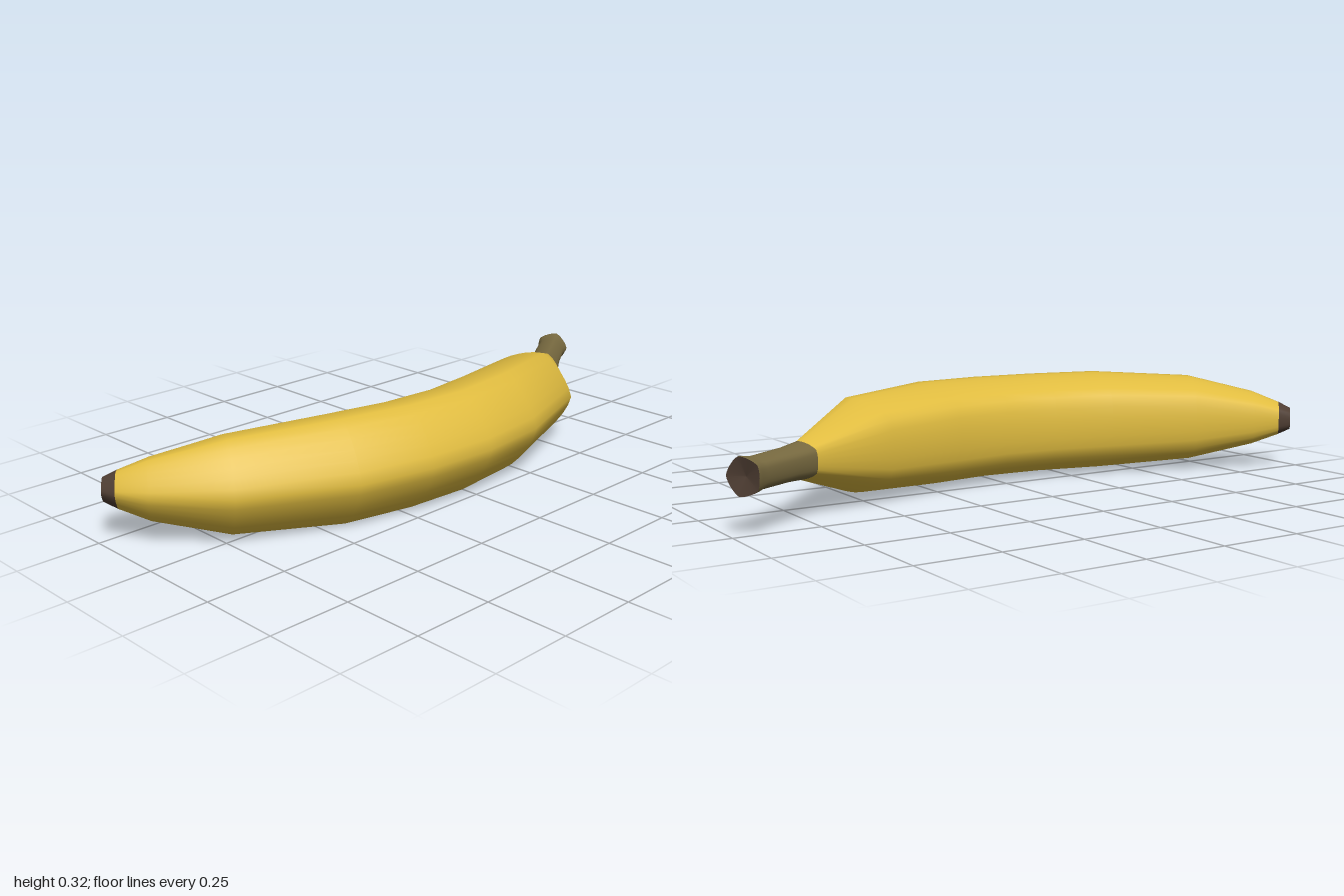
import * as THREE from 'three';

const SIDES = 30; // six steps for each of the five curved faces
const MID_Y = 0.159;

// Rounded five-ridged cross-section, with one ridge on the outer curve
const ridged = (a) => 1 - 0.09 * Math.abs(Math.sin(2.5 * a));

// Skin a row of stations [x, z, radius, turn of the outward direction]
function loft(name, stations, material) {
  const pos = [], index = [];
  for (const [x, z, r, turn] of stations) {
    for (let j = 0; j < SIDES; j++) {
      const a = (j / SIDES) * Math.PI * 2;
      const out = r * ridged(a) * Math.cos(a);
      pos.push(x + out * Math.sin(turn), MID_Y + r * ridged(a) * Math.sin(a), z + out * Math.cos(turn));
    }
  }
  for (let i = 0; i < stations.length - 1; i++) {
    for (let j = 0; j < SIDES; j++) {
      const k = (j + 1) % SIDES;
      const a = i * SIDES + j, b = i * SIDES + k, c = a + SIDES, d = b + SIDES;
      index.push(a, c, b, c, d, b);
    }
  }
  const geo = new THREE.BufferGeometry();
  geo.setAttribute('position', new THREE.Float32BufferAttribute(pos, 3));
  geo.setIndex(index);
  geo.computeVertexNormals();
  const mesh = new THREE.Mesh(geo, material);
  mesh.name = name;
  return mesh;
}

export function createModel() {
  const peel = new THREE.MeshStandardMaterial({ color: 0xe0bc40 });
  peel.name = 'yellowPeel';
  const olive = new THREE.MeshStandardMaterial({ color: 0x786a40 });
  olive.name = 'oliveStem';
  const brown = new THREE.MeshStandardMaterial({ color: 0x4f3e33 });
  brown.name = 'darkBrown';

  const tipBase = [-0.946, -0.217, 0.057, -0.73];
  const tipEnd = [-0.975, -0.243, 0.037, -0.76];
  const stemBase = [0.742, -0.119, 0.056, 0.55];
  const stemEnd = [0.971, -0.264, 0.055, 0.56];

  const group = new THREE.Group();
  group.name = 'banana';
  group.add(
    // curved fruit body
    loft('body', [
      tipBase,
      [-0.88, -0.16, 0.093, -0.66],
      [-0.705, -0.041, 0.147, -0.51],
      [-0.412, 0.082, 0.167, -0.29],
      [-0.2, 0.128, 0.167, -0.15],
      [0, 0.141, 0.167, 0.01],
      [0.21, 0.115, 0.167, 0.18],
      [0.5, 0.025, 0.147, 0.4],
      stemBase,
    ], peel),
    // dark blossom tip and its sunken end
    loft('tip', [tipEnd, tipBase], brown),
    loft('tipEnd', [[-0.967, -0.235, 0, -0.76], tipEnd], brown),
    // stem with a slight flare
    loft('stem', [
      stemBase,
      [0.81, -0.162, 0.05, 0.56],
      [0.93, -0.238, 0.048, 0.56],
      [0.957, -0.255, 0.054, 0.56],
      stemEnd,
    ], olive),
    // sunken cut face of the stem
    loft('stemCut', [stemEnd, [0.961, -0.258, 0, 0.56]], brown),
  );
  return group;
}
